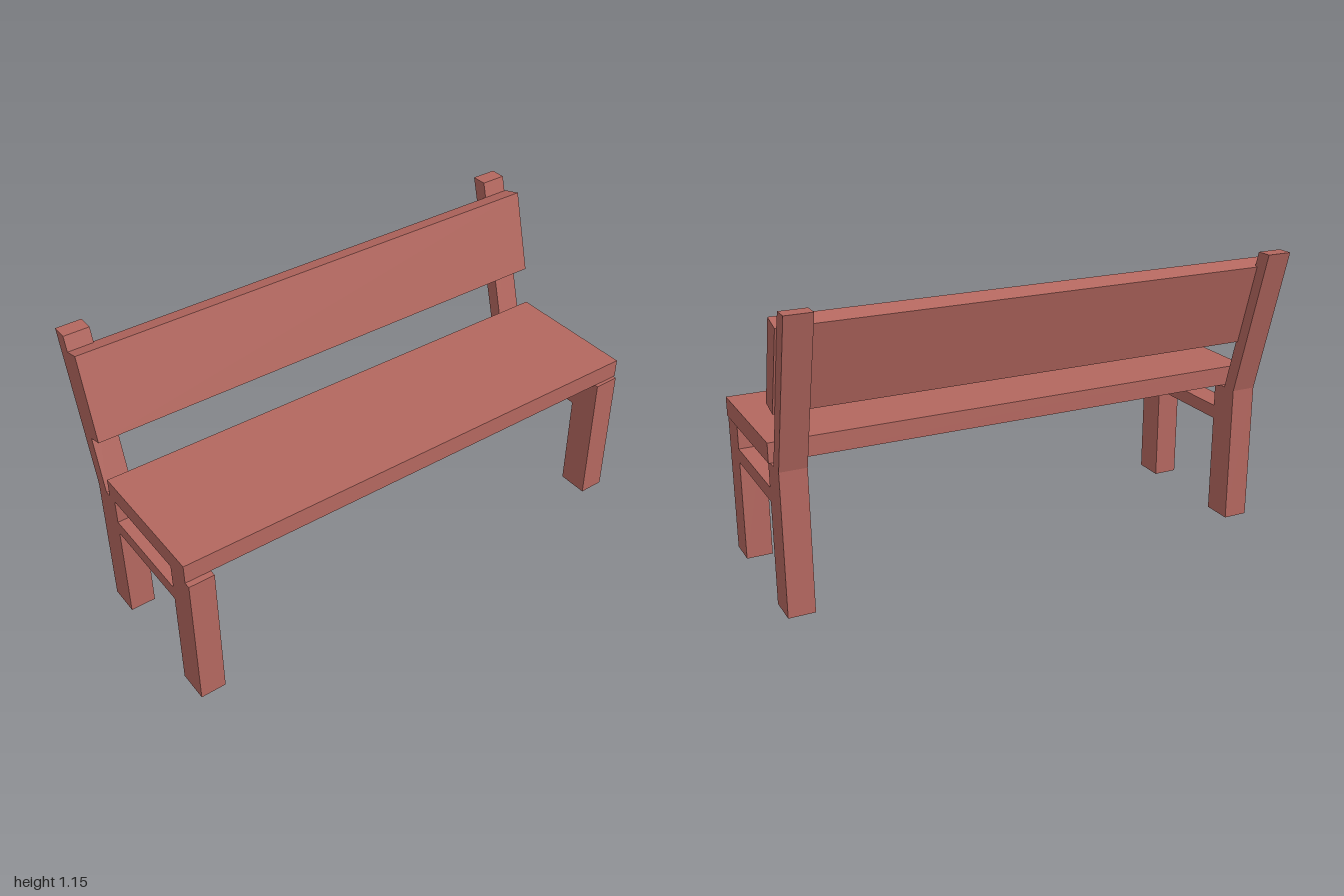
import * as THREE from 'three';

const material = new THREE.MeshStandardMaterial({ color: 0xb3675f, flatShading: true, side: THREE.DoubleSide });

// Beam along x with a four-cornered side profile of [z, y] points:
// back-bottom, front-bottom, front-top, back-top. skew shifts z along x.
function beam(name, x0, x1, profile, { skew = 0, open = false } = {}) {
  const geo = new THREE.BoxGeometry(2, 2, 2);
  const p = geo.attributes.position;
  for (let i = 0; i < p.count; i++) {
    const front = p.getZ(i) > 0;
    const corner = p.getY(i) > 0 ? (front ? 2 : 3) : (front ? 1 : 0);
    const x = p.getX(i) > 0 ? x1 : x0;
    const [z, y] = profile[corner];
    p.setXYZ(i, x, y, z + skew * x);
  }
  // Leave out the bottom face
  if (open) {
    const idx = Array.from(geo.index.array);
    idx.splice(18, 6);
    geo.setIndex(idx);
  }
  geo.computeVertexNormals();
  const mesh = new THREE.Mesh(geo, material);
  mesh.name = name;
  return mesh;
}

const rect = (z0, z1, y0, y1) => [[z0, y0], [z1, y0], [z1, y1], [z0, y1]];

// Two legs, a stretcher and a leaning back post
function sideFrame(name, x0, x1) {
  const frame = new THREE.Group();
  frame.name = name;
  frame.add(
    beam('frontLeg', x0, x1, rect(0.285, 0.408, 0, 0.56), { open: true }),
    beam('rearLeg', x0, x1, rect(-0.243, -0.12, 0, 0.56), { open: true }),
    beam('stretcher', x0, x1, rect(-0.12, 0.285, 0.405, 0.46)),
    beam('backPost', x0, x1, [[-0.243, 0.56], [-0.183, 0.56], [-0.346, 1.153], [-0.408, 1.153]], { open: true })
  );
  return frame;
}

export function createModel() {
  const bench = new THREE.Group();
  bench.name = 'bench';
  bench.add(sideFrame('rightFrame', -1, -0.9), sideFrame('leftFrame', 0.89, 0.993));

  // Seat plank, very slightly turned
  bench.add(beam('seat', -1, 1, rect(-0.153, 0.389, 0.56, 0.636), { skew: 0.006 }));

  // Backrest plank, leaning with the posts
  bench.add(beam('backrest', -1, 1,
    [[-0.245, 0.77], [-0.176, 0.79], [-0.262, 1.113], [-0.336, 1.093]], { skew: 0.006 }));

  return bench;
}
